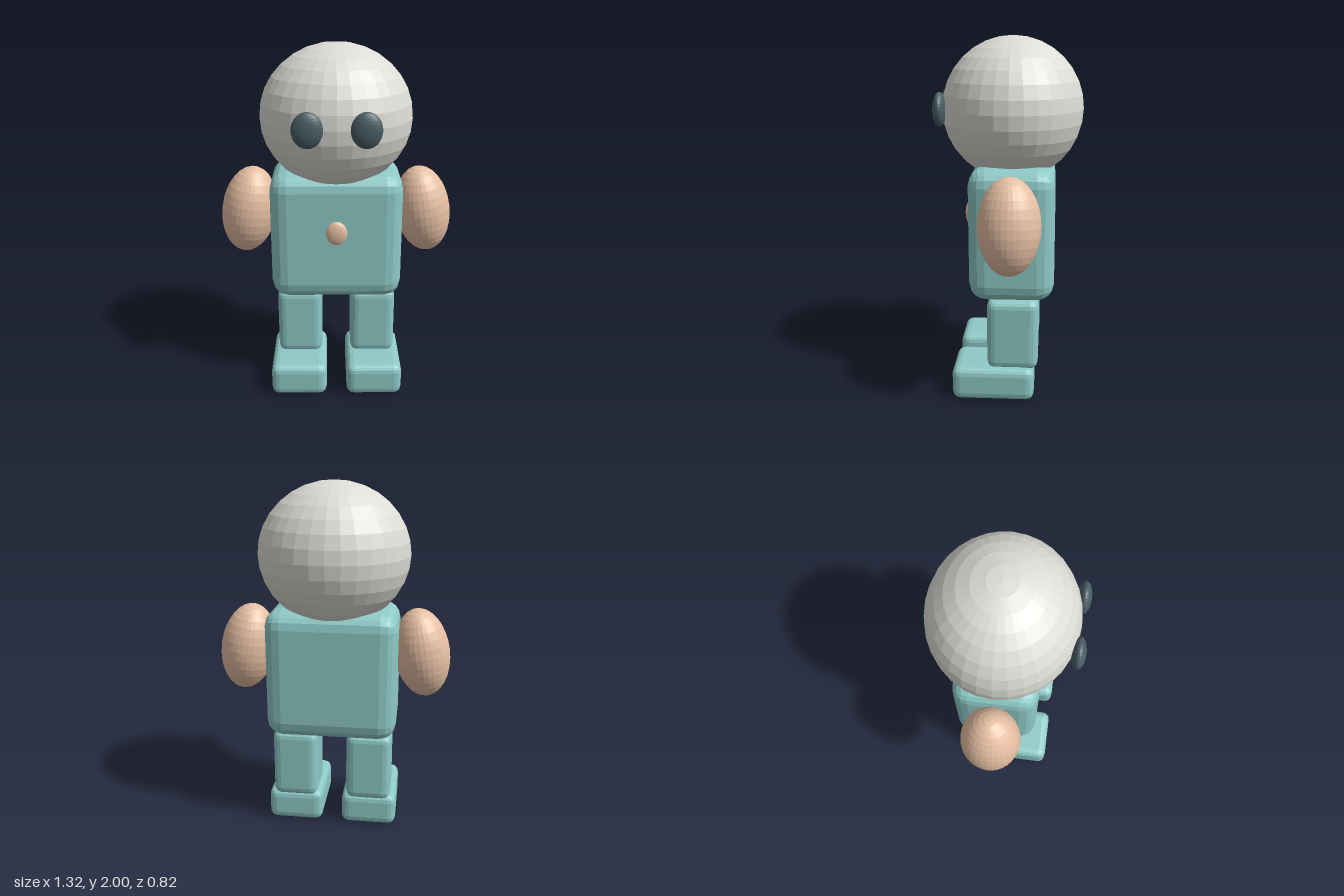
import * as THREE from 'three';
import { RoundedBoxGeometry } from 'three/addons/geometries/RoundedBoxGeometry.js';

const paint = (color) => new THREE.MeshStandardMaterial({ color, flatShading: true });

export function createModel() {
  const model = new THREE.Group();
  const teal = paint(0x8ecac7);
  const peach = paint(0xe6bfa3);
  const pale = paint(0xdddcd6);
  const dark = paint(0x4b5f66);

  // Faceted ellipsoid from centre and radii
  function ellipsoid(name, material, centre, radii, parent = model) {
    const mesh = new THREE.Mesh(new THREE.SphereGeometry(1, 32, 16), material);
    mesh.name = name;
    mesh.position.set(...centre);
    mesh.scale.set(...radii);
    parent.add(mesh);
    return mesh;
  }

  // Bevelled block from its minimum and maximum corners
  function block(name, min, max, bevel, parent = model) {
    const size = max.map((v, i) => v - min[i]);
    const mesh = new THREE.Mesh(new RoundedBoxGeometry(...size, 2, bevel), teal);
    mesh.name = name;
    mesh.position.set(...max.map((v, i) => (v + min[i]) / 2));
    parent.add(mesh);
    return mesh;
  }

  ellipsoid('head', pale, [0, 1.605, -0.018], [0.422, 0.395, 0.393]);
  block('torso', [-0.37, 0.58, -0.26], [0.37, 1.315, 0.21], 0.095);
  ellipsoid('bellyButton', peach, [0, 1.002, 0.232], [0.059, 0.068, 0.025]);

  // Paired parts, mirrored across x
  for (const [side, s] of [['left', 1], ['right', -1]]) {
    ellipsoid(side + 'Eye', dark, [s * 0.15, 1.61, 0.372], [0.081, 0.094, 0.037]);

    const arm = ellipsoid(side + 'Arm', peach, [s * 0.5, 1.057, -0.025], [0.157, 0.255, 0.165]);
    arm.rotation.z = s * 0.16;

    const leg = new THREE.Group();
    leg.name = side + 'Leg';
    const mid = s * 0.215;
    block('shin', [mid - 0.13, 0.175, -0.175], [mid + 0.13, 0.583, 0.11], 0.045, leg);
    const fx = s * 0.219;
    block('foot', [fx - 0.161, 0, -0.155], [fx + 0.161, 0.192, 0.305], 0.045, leg);
    model.add(leg);
  }

  return model;
}
